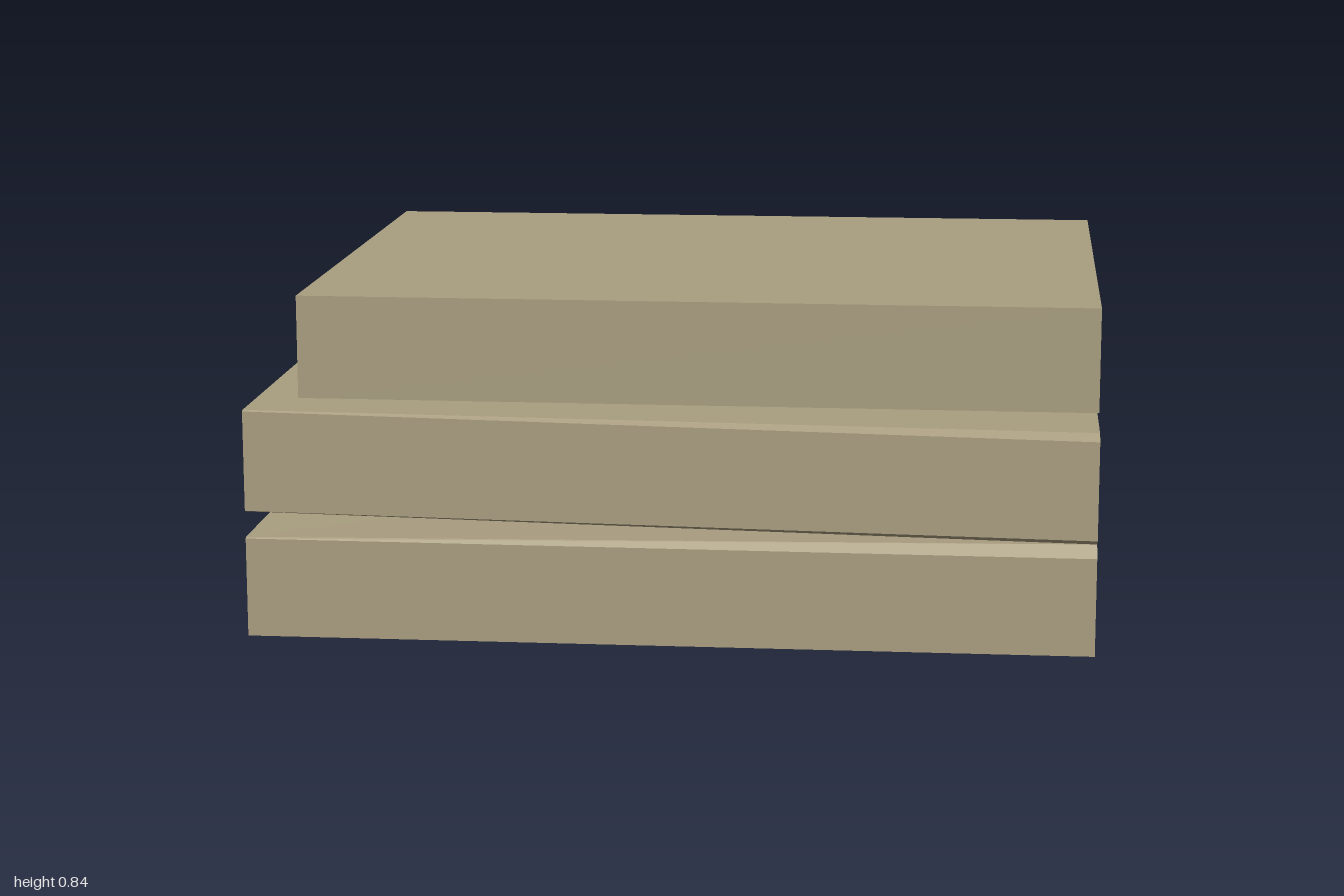
import * as THREE from 'three';

// Lofts a slab between two end sections of [z, y] points,
// listed from bottom back to bottom front, then top front to top back.
function loftSlab(xLeft, left, xRight, right) {
  const L = left.map(([z, y]) => [xLeft, y, z]);
  const R = right.map(([z, y]) => [xRight, y, z]);
  const n = L.length;
  const pos = [];
  const tri = (a, b, c) => pos.push(...a, ...b, ...c);
  for (let i = 0; i < n; i++) {
    const j = (i + 1) % n;
    tri(L[i], R[i], R[j]);
    tri(L[i], R[j], L[j]);
  }
  for (let k = 1; k < n - 1; k++) {
    tri(R[0], R[k + 1], R[k]);
    tri(L[0], L[k], L[k + 1]);
  }
  const geometry = new THREE.BufferGeometry();
  geometry.setAttribute('position', new THREE.Float32BufferAttribute(pos, 3));
  geometry.computeVertexNormals();
  return geometry;
}

export function createModel() {
  const model = new THREE.Group();
  model.name = 'stackedSlabs';
  const stone = new THREE.MeshStandardMaterial({ color: 0xa89d7f, flatShading: true });
  stone.name = 'sandstone';

  const add = (name, ...args) => {
    const mesh = new THREE.Mesh(loftSlab(...args), stone);
    mesh.name = name;
    model.add(mesh);
  };
  const B = -0.695, F = 0.695;

  // bottom slab: front bevel widens to the right, where it meets the middle slab
  add('bottomSlab',
    -1, [[B, 0], [F, 0.01], [F, 0.247], [0.69, 0.25], [B, 0.26]],
    0.997, [[B, 0.003], [F, 0.012], [F, 0.245], [0.663, 0.272], [B, 0.275]]);

  // middle slab: leans down to the right, closing the gap below it
  add('middleSlab',
    -1, [[B, 0.305], [0.69, 0.312], [F, 0.314], [F, 0.553], [0.69, 0.556], [B, 0.565]],
    0.997, [[B, 0.275], [0.663, 0.272], [F, 0.287], [F, 0.52], [0.663, 0.535], [B, 0.535]]);

  // top slab: shorter on the right-hand end, floating just above the middle one
  const top = [[B, 0.58], [F, 0.588], [F, 0.83], [B, 0.838]];
  add('topSlab', -0.865, top, 0.993, top);

  return model;
}
